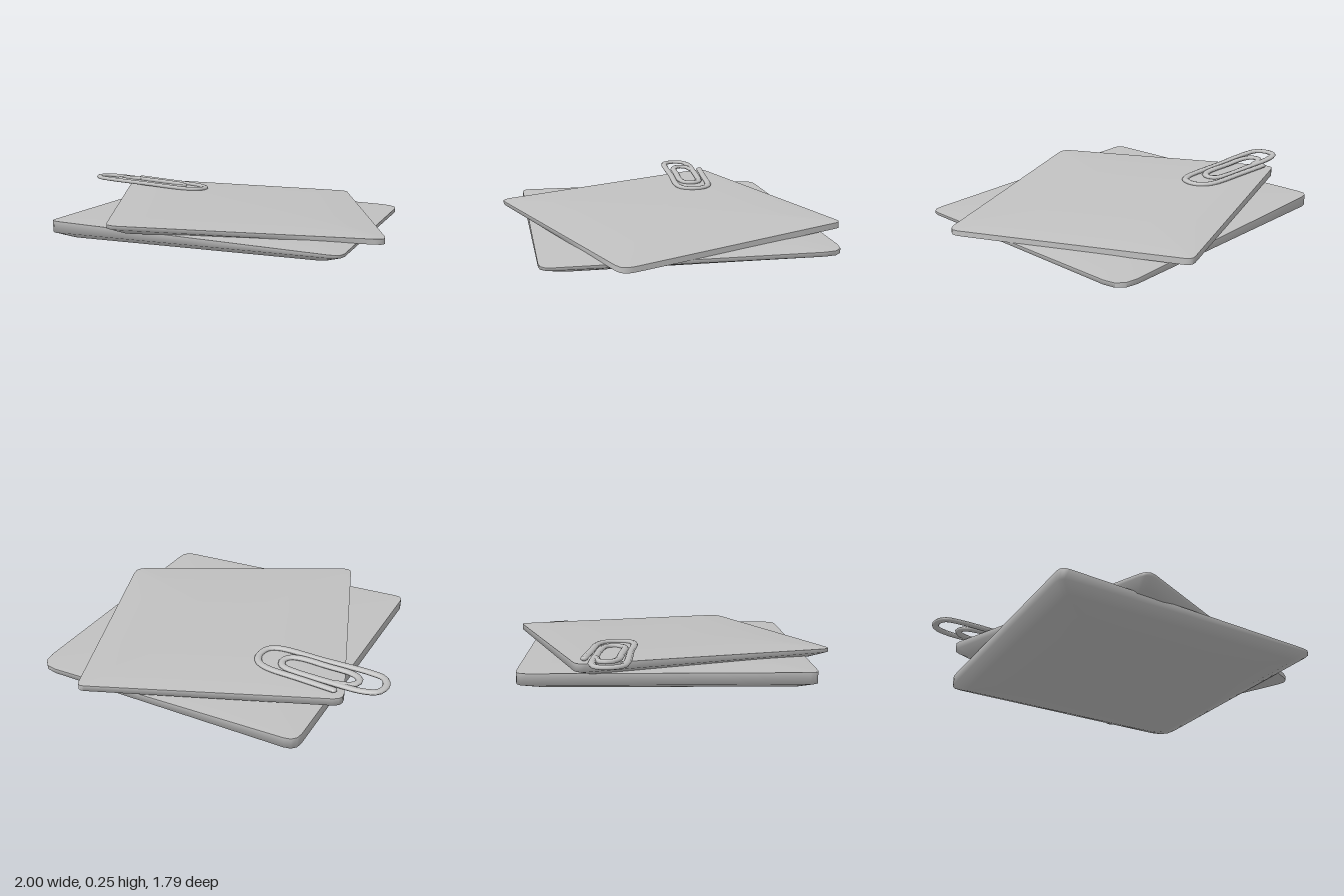
import * as THREE from 'three';
import { toCreasedNormals } from 'three/addons/utils/BufferGeometryUtils.js';

const grey = new THREE.MeshStandardMaterial({ color: 0xc0c0c0 });
grey.name = 'grey';

// Rounded four-sided outline; each corner is [x, z, rimTop, rimBottom, underside]
function outline(corners, level, round) {
  const pts = corners.map(c => new THREE.Vector3(c[0], c[level], c[1]));
  const loop = [];
  pts.forEach((p, i) => {
    const towards = q => p.clone().addScaledVector(q.clone().sub(p).normalize(), round[i]);
    const next = pts[(i + 1) % 4];
    const end = towards(next);
    const bend = new THREE.QuadraticBezierCurve3(towards(pts[(i + 3) % 4]), p, end);
    loop.push(...bend.getPoints(3));
    // points along the straight side
    const stop = next.clone().addScaledVector(p.clone().sub(next).normalize(), round[(i + 1) % 4]);
    for (let k = 1; k < 4; k++) loop.push(end.clone().lerp(stop, k / 4));
  });
  return loop;
}

// Thin pad: flat bevelled underside, upright rim, slightly domed top
function pad(name, corners, round, dome) {
  const centre = loop => loop.reduce((s, p) => s.add(p), new THREE.Vector3()).divideScalar(loop.length);
  const inset = (loop, s, lift = 0) => {
    const c = centre(loop);
    return loop.map(p => {
      const q = c.clone().lerp(p, s);
      q.y += lift;
      return q;
    });
  };
  const top = outline(corners, 2, round);
  const low = outline(corners, 3, round);
  const under = outline(corners, 4, round);
  const rings = [inset(under, 0), inset(under, 0.45), inset(under, 0.9), low, top];
  for (const s of [0.97, 0.85, 0.7, 0.5, 0.25, 0]) rings.push(inset(top, s, dome * (1 - s ** 3)));

  // first and last rings are single points, so their strips are fans
  const n = top.length, strips = rings.length - 1, index = [];
  for (let i = 0; i < strips; i++) {
    for (let j = 0; j < n; j++) {
      const k = (j + 1) % n;
      const a = i * n + j, b = i * n + k, c = b + n, d = a + n;
      if (i > 0) index.push(a, d, b);
      if (i < strips - 1) index.push(b, d, c);
    }
  }
  const geo = new THREE.BufferGeometry().setFromPoints(rings.flat());
  geo.setIndex(index);
  const mesh = new THREE.Mesh(toCreasedNormals(geo, 1.35), grey);
  mesh.name = name;
  return mesh;
}

// Flattened wire clip: one tube following its bends, tilted to lie on the sheet
function clip() {
  const path = [
    [-0.72, -0.54], [-0.5, -0.487], [-0.31, -0.44], [-0.25, -0.4], [-0.225, -0.335], [-0.25, -0.26], [-0.31, -0.235],
    [-0.6, -0.285], [-0.88, -0.335], [-0.955, -0.365], [-0.98, -0.425], [-0.955, -0.49], [-0.88, -0.51],
    [-0.65, -0.472], [-0.46, -0.43], [-0.39, -0.4], [-0.372, -0.35], [-0.4, -0.31], [-0.46, -0.3],
    [-0.63, -0.335], [-0.77, -0.365], [-0.82, -0.395], [-0.833, -0.43], [-0.81, -0.465], [-0.77, -0.477], [-0.72, -0.478]
  ];
  const pts = path.map(([x, z]) => new THREE.Vector3(x, 0, z));
  const curve = new THREE.CatmullRomCurve3(pts, false, 'centripetal');
  const group = new THREE.Group();
  group.name = 'paperClip';
  const wire = new THREE.Mesh(new THREE.TubeGeometry(curve, 110, 0.021, 8), grey);
  wire.name = 'clipWire';
  group.add(wire);
  // closed wire ends
  for (const p of [pts[0], pts[pts.length - 1]]) {
    const end = new THREE.Mesh(new THREE.SphereGeometry(0.021, 8, 6), grey);
    end.name = 'clipEnd';
    end.position.copy(p);
    group.add(end);
  }
  group.scale.y = 0.6;
  group.rotation.z = -0.064;
  group.position.y = 0.176;
  return group;
}

export function createModel() {
  const model = new THREE.Group();
  model.name = 'noteSheetsWithClip';
  model.add(
    pad('lowerSheet', [
      [-0.63, -0.905, 0.13, 0.065, 0.035],
      [1.015, -0.7, 0.06, 0.035, 0.01],
      [0.78, 0.9, 0.05, 0.035, 0],
      [-0.85, 0.695, 0.13, 0.065, 0.03]
    ], [0.07, 0.12, 0.07, 0.05], 0.015),
    pad('upperSheet', [
      [-0.79, -0.585, 0.21, 0.165, 0.135],
      [0.655, -0.878, 0.125, 0.09, 0.07],
      [0.99, 0.53, 0.07, 0.04, 0.035],
      [-0.45, 0.9, 0.155, 0.135, 0.1]
    ], [0.06, 0.04, 0.07, 0.06], 0.02),
    clip()
  );
  return model;
}
